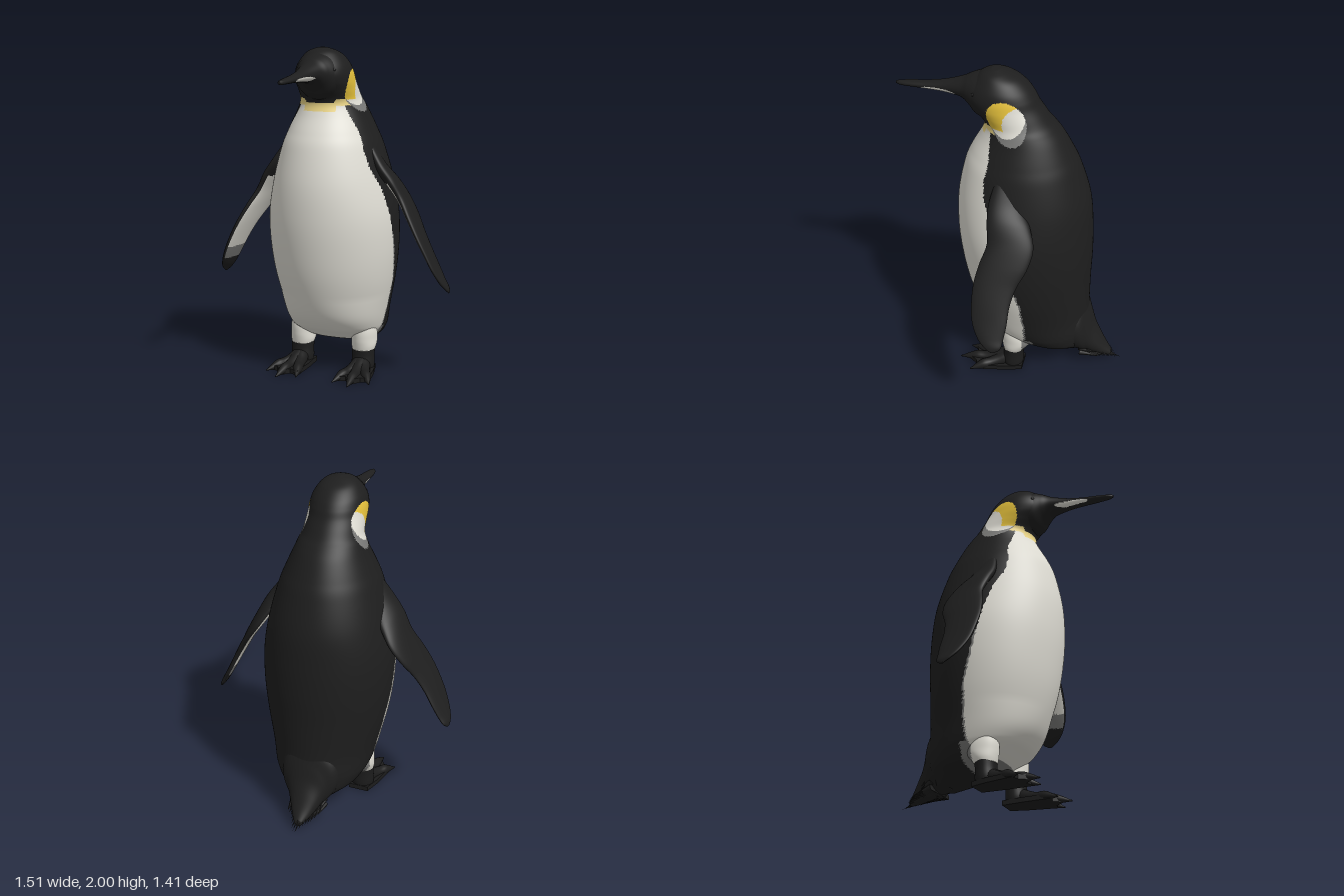
import * as THREE from 'three';

const mat = (name, color) => {
  const m = new THREE.MeshStandardMaterial({ color });
  m.name = name;
  return m;
};

// Catmull-Rom blend of table rows, t from 0 to 1
function sample(rows, t) {
  const f = t * (rows.length - 1);
  const i = Math.min(Math.floor(f), rows.length - 2), k = f - i;
  const at = (n) => rows[Math.max(0, Math.min(rows.length - 1, n))];
  return rows[0].map((_, c) => {
    const a = at(i - 1)[c], b = at(i)[c], d = at(i + 1)[c], e = at(i + 2)[c];
    return b + 0.5 * k * (d - a + k * (2 * a - 5 * b + 4 * d - e + k * (3 * (b - d) + e - a)));
  });
}

// Piecewise linear lookup in [key, value] pairs with rising keys
function lookup(pairs, key) {
  for (let i = 1; i < pairs.length; i++) {
    const [k0, v0] = pairs[i - 1], [k1, v1] = pairs[i];
    if (key <= k1) return v0 + (v1 - v0) * Math.max(0, (key - k0) / (k1 - k0));
  }
  return pairs[pairs.length - 1][1];
}

// Closed skin through rings point(u, angle); paint(centre, angle) picks a material index
function loft(name, nu, nv, point, materials, paint = () => 0, side = 1) {
  const pos = [], buckets = materials.map(() => []);
  for (let i = 0; i <= nu; i++)
    for (let j = 0; j < nv; j++) {
      const p = point(i / nu, (j / nv) * Math.PI * 2);
      pos.push(p[0] * side, p[1], p[2]);
    }
  const vert = (i) => new THREE.Vector3().fromArray(pos, i * 3);
  const tri = (a, b, c, angle) => {
    const m = vert(a).add(vert(b)).add(vert(c)).divideScalar(3);
    buckets[paint(m, angle)].push(...(side > 0 ? [a, b, c] : [a, c, b]));
  };
  const cap = (row) => {
    const m = new THREE.Vector3();
    for (let j = 0; j < nv; j++) m.add(vert(row * nv + j));
    pos.push(m.x / nv, m.y / nv, m.z / nv);
    return pos.length / 3 - 1;
  };
  const start = cap(0), end = cap(nu);
  for (let j = 0; j < nv; j++) {
    const k = (j + 1) % nv, angle = ((j + 0.5) / nv) * Math.PI * 2;
    tri(start, j, k, angle);
    tri(end, nu * nv + k, nu * nv + j, angle);
    for (let i = 0; i < nu; i++) {
      const a = i * nv + j, b = i * nv + k;
      tri(a, a + nv, b, angle);
      tri(b, a + nv, b + nv, angle);
    }
  }
  const g = new THREE.BufferGeometry();
  g.setAttribute('position', new THREE.Float32BufferAttribute(pos, 3));
  g.setIndex(buckets.flat());
  let first = 0;
  buckets.forEach((b, i) => { g.addGroup(first, b.length, i); first += b.length; });
  g.computeVertexNormals();
  const mesh = new THREE.Mesh(g, materials);
  mesh.name = name;
  return mesh;
}

export function createModel() {
  const black = mat('black plumage', 0x1e1e1e), white = mat('white plumage', 0xe0ded5);
  const grey = mat('grey plumage', 0x7a7a78), yellow = mat('golden yellow', 0xe6c23c);
  const pale = mat('pale yellow', 0xead485), skin = mat('dark skin', 0x1c1c1c);
  const plumage = [black, white, grey, yellow, pale];
  const root = new THREE.Group();
  root.name = 'penguin';

  // Body and head: rows of height, half width, front z, back z
  const bodyRows = [
    [0.1, 0.09, -0.37, -0.46], [0.15, 0.17, -0.2, -0.49], [0.19, 0.235, -0.05, -0.498],
    [0.25, 0.28, 0.06, -0.5], [0.3, 0.3, 0.13, -0.5], [0.4, 0.325, 0.2, -0.49],
    [0.6, 0.37, 0.27, -0.49], [0.8, 0.395, 0.31, -0.495], [1, 0.395, 0.33, -0.49],
    [1.2, 0.36, 0.325, -0.47], [1.4, 0.305, 0.285, -0.41], [1.5, 0.265, 0.245, -0.365],
    [1.6, 0.22, 0.19, -0.31], [1.66, 0.195, 0.165, -0.265], [1.7, 0.18, 0.175, -0.23],
    [1.75, 0.175, 0.22, -0.195], [1.8, 0.173, 0.265, -0.16], [1.85, 0.168, 0.28, -0.135],
    [1.9, 0.152, 0.26, -0.1], [1.95, 0.118, 0.215, -0.045], [1.98, 0.08, 0.175, 0.02],
    [1.998, 0.025, 0.125, 0.075],
  ];
  // Where the white belly meets the black back: height, z
  const bellyEdge = [[0.2, -0.12], [0.3, -0.14], [0.4, -0.14], [0.6, -0.12], [0.8, -0.06],
    [1, -0.01], [1.2, 0.05], [1.3, 0.1], [1.4, 0.11], [1.5, 0.09], [1.66, 0.1]];
  const inOval = (z, y, cz, cy, rz, ry) => ((z - cz) / rz) ** 2 + ((y - cy) / ry) ** 2 < 1;
  const bodyPaint = ({ x, y, z }) => {
    if (Math.abs(x) > 0.08 && inOval(z, y, (y - 1.74) * 0.25, 1.743, 0.113, 0.127)) { // ear patch
      if (y > 1.695 && !inOval(z, y, -0.07, 1.735, 0.094, 0.1)) return 3;
      return inOval(z, y, 0.005, 1.765, 0.11, 0.108) ? 1 : 2;
    }
    if (y > 1.66 && y < 1.7 && z > 0.06 && z < 0.14) return 4;
    if (y > 1.675) return 0;
    if (y > 1.625 && z > 0.1 && Math.abs(x) < 0.1) return 4;
    if (y < 0.2) return z > -0.2 ? 2 : 0;
    const edge = lookup(bellyEdge, y);
    if (z > edge) return 1;
    if (y < 0.27 && z > -0.19) return 2;
    return y < 0.9 && z > edge - 0.012 ? 2 : 0;
  };
  // Rings are ellipses, a little squarer in front towards the legs
  const bend = (v, p) => Math.sign(v) * Math.abs(v) ** p;
  root.add(loft('body', 190, 192, (u, a) => {
    const [y, w, zf, zb] = sample(bodyRows, u), s = Math.sin(a);
    const p = s > 0 ? 1 - 0.22 * THREE.MathUtils.clamp((0.5 - y) / 0.25, 0, 1) : 1;
    return [w * bend(Math.cos(a), p), y, (zf + zb) / 2 + ((zf - zb) / 2) * bend(s, p)];
  }, plumage, bodyPaint));

  // Face and bill: rows of z, half width, bottom y, top y
  const billRows = [[0.05, 0.14, 1.71, 1.97], [0.13, 0.15, 1.69, 1.985], [0.2, 0.13, 1.71, 1.965],
    [0.25, 0.1, 1.765, 1.945], [0.3, 0.072, 1.8, 1.92], [0.4, 0.046, 1.814, 1.888],
    [0.5, 0.036, 1.819, 1.868], [0.6, 0.03, 1.82, 1.856], [0.67, 0.02, 1.82, 1.848],
    [0.7, 0.006, 1.824, 1.842]];
  root.add(loft('bill', 90, 56, (u, a) => {
    const [z, w, lo, hi] = sample(billRows, u);
    return [w * Math.cos(a), (lo + hi) / 2 - ((hi - lo) / 2) * Math.sin(a), z];
  }, [black, white], ({ x, y, z }) =>
    (Math.abs(x) > 0.022 && inOval(z, y, 0.435, 1.832, 0.105, 0.015) ? 1 : 0)));

  // Flipper: rows of x, y, front z, back z, half thickness
  const wingRows = [[0.225, 1.47, 0.02, -0.08, 0.02], [0.31, 1.3, 0.06, -0.13, 0.042],
    [0.383, 1.2, 0.055, -0.19, 0.043], [0.445, 1.1, 0.04, -0.225, 0.037],
    [0.51, 1, 0.07, -0.205, 0.031], [0.57, 0.9, 0.09, -0.155, 0.027],
    [0.625, 0.8, 0.09, -0.13, 0.024], [0.675, 0.7, 0.075, -0.125, 0.021],
    [0.715, 0.62, 0.035, -0.115, 0.018], [0.74, 0.575, -0.01, -0.105, 0.012],
    [0.75, 0.55, -0.05, -0.07, 0.004]];
  const wingPaint = ({ y }, a) => {
    if (Math.cos(a) > -0.4 || y > 1.2 || y < 0.65) return 0;
    return y < 0.73 ? 2 : 1;
  };

  // Legs: rows of height, x radius, z radius, z centre
  const thighRows = [[0.14, 0.07, 0.065, -0.056], [0.17, 0.078, 0.08, -0.065],
    [0.21, 0.079, 0.095, -0.075], [0.27, 0.074, 0.088, -0.068], [0.36, 0.05, 0.05, -0.05]];
  const ankleRows = [[0.01, 0.066, 0.058, -0.055], [0.05, 0.072, 0.066, -0.052],
    [0.11, 0.071, 0.063, -0.055], [0.18, 0.074, 0.066, -0.058]];
  const leg = (rows) => (u, a) => {
    const [y, rx, rz, z] = sample(rows, u);
    return [0.205 + rx * Math.cos(a), y, z + rz * Math.sin(a)];
  };
  // Toe tips (x, z), the webbed sole, and toe rows of radius and height
  const toeTips = [[0.34, 0.2], [0.235, 0.288], [0.12, 0.245]];
  const sole = [[0.135, -0.115], [0.26, -0.12], [0.29, -0.02], [0.325, 0.16], [0.275, 0.175],
    [0.23, 0.24], [0.185, 0.185], [0.125, 0.21], [0.125, 0.03]];
  const toeRows = [[0.05, 0.062], [0.045, 0.05], [0.036, 0.038], [0.031, 0.03],
    [0.03, 0.028], [0.018, 0.018], [0.004, 0.006]];

  for (const side of [1, -1]) {
    const tag = side > 0 ? 'left' : 'right';
    // The front edge is turned slightly outward
    root.add(loft(tag + 'Flipper', 90, 48, (u, a) => {
      const [x, y, zf, zb, t] = sample(wingRows, u);
      const n = t * (Math.cos(a) - 0.65 * Math.sin(a));
      return [x + 0.86 * n, y + 0.5 * n, (zf + zb) / 2 - ((zf - zb) / 2) * Math.sin(a)];
    }, plumage, wingPaint, side));
    root.add(loft(tag + 'Thigh', 24, 36, leg(thighRows), [white, grey],
      ({ z }) => (z < -0.12 ? 1 : 0), side));
    root.add(loft(tag + 'Ankle', 16, 32, leg(ankleRows), [skin], undefined, side));

    const outline = new THREE.Shape(sole.map(([x, z]) => new THREE.Vector2(x * side, z)));
    const web = new THREE.ExtrudeGeometry(outline, { depth: 0.03, bevelEnabled: false });
    const foot = new THREE.Mesh(web.rotateX(Math.PI / 2).translate(0, 0.031, 0), skin);
    foot.name = tag + 'Foot';
    for (const [tx, tz] of toeTips) {
      const dx = tx - 0.205, dz = tz + 0.03, len = Math.hypot(dx, dz);
      foot.add(loft('toe', 24, 16, (u, a) => {
        const [r, y] = sample(toeRows, u), c = r * Math.cos(a);
        return [0.205 + dx * u + (dz / len) * c, Math.max(0, y - r * Math.sin(a)),
          -0.03 + dz * u - (dx / len) * c];
      }, [skin], undefined, side));
    }
    root.add(foot);

    const eye = new THREE.Mesh(new THREE.SphereGeometry(0.012, 16, 12), skin);
    eye.name = tag + 'Eye';
    eye.position.set(side * 0.114, 1.875, 0.205);
    root.add(eye);
  }

  // Tail: a narrow root, rows of z, half width, bottom y, top y, ending in a fan of feathers
  const tailRows = [[-0.38, 0.2, 0.1, 0.5], [-0.46, 0.17, 0.075, 0.46], [-0.5, 0.125, 0.06, 0.36],
    [-0.53, 0.1, 0.05, 0.265], [-0.57, 0.075, 0.04, 0.185], [-0.61, 0.05, 0.03, 0.115],
    [-0.65, 0.022, 0.025, 0.06]];
  const tail = loft('tail', 36, 40, (u, a) => {
    const [z, w, lo, hi] = sample(tailRows, u);
    return [w * Math.cos(a), (lo + hi) / 2 + ((hi - lo) / 2) * Math.sin(a), z];
  }, [black]);
  for (const layer of [0, 1, 2])
    for (let k = -7; k <= 7; k++) {
      const jitter = 0.014 * Math.sin(k * 5.3 + layer * 2), spread = Math.abs(k);
      const from = new THREE.Vector3(k * 0.0145, 0.09 + layer * 0.035, -0.46);
      const to = new THREE.Vector3(k * 0.0135, 0.012 + layer * 0.02 + spread * 0.008,
        -0.71 + layer * 0.026 + spread * 0.02 + jitter);
      const cone = new THREE.ConeGeometry(0.02, from.distanceTo(to), 8).rotateX(Math.PI / 2);
      const feather = new THREE.Mesh(cone, black);
      feather.name = 'tailFeather';
      feather.position.copy(from).add(to).multiplyScalar(0.5);
      feather.lookAt(to);
      tail.add(feather);
    }
  root.add(tail);
  return root;
}
